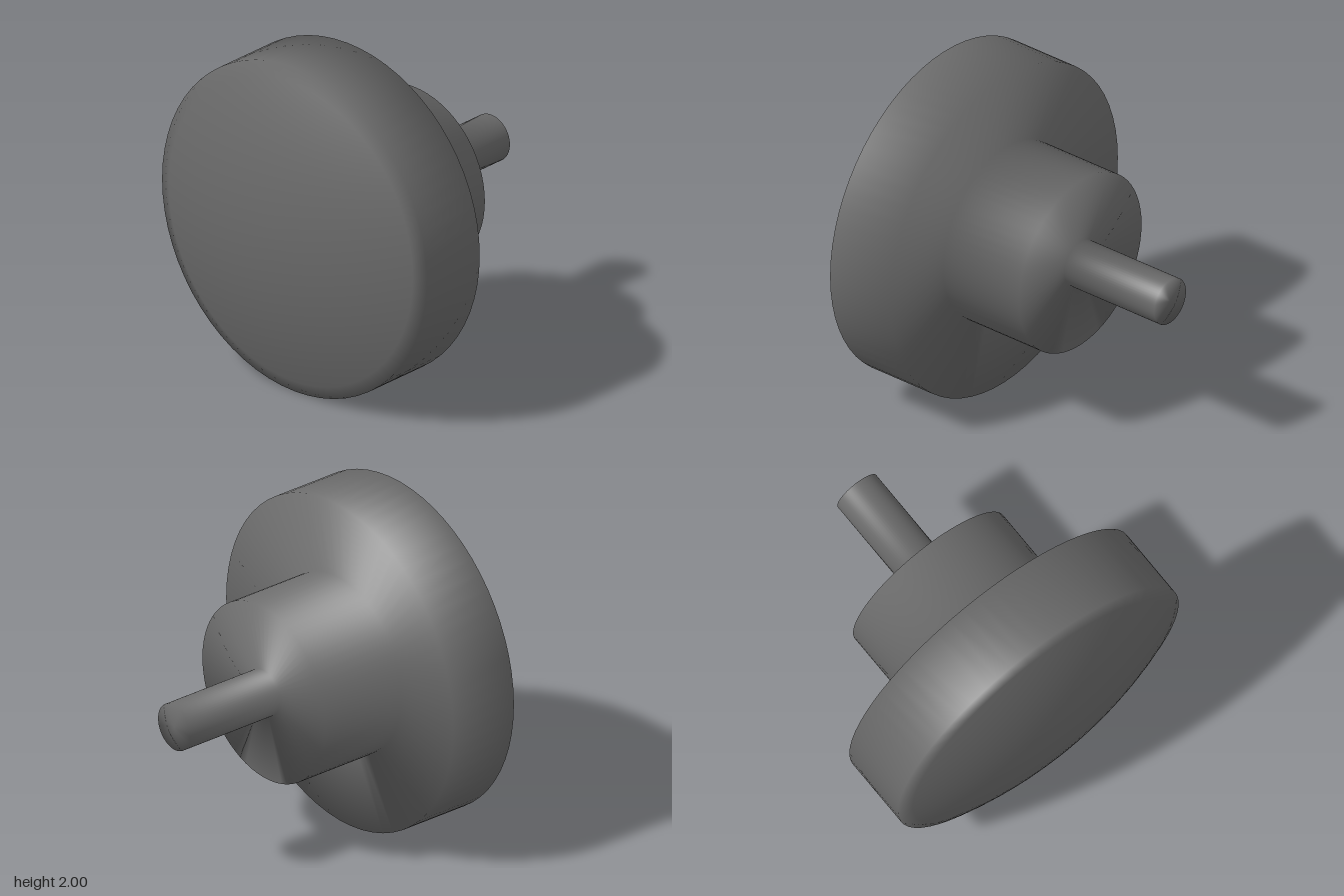
import * as THREE from 'three';
import { mergeGeometries, mergeVertices } from 'three/addons/utils/BufferGeometryUtils.js';
import { ParametricGeometry } from 'three/addons/geometries/ParametricGeometry.js';

const SEG = 64;               // sides of every round part
const AXIS_Y = 1;             // height of the knob's axis
const HUB = { r: 0.54, back: -0.27, front: 0.28 };
const HOLE = { r: 0.085, floor: 0.58 };
const GAP = 4 * 2 * Math.PI / SEG; // half angle of the hub patch that holds the hole

// Revolves [radius, z] points about the knob's axis
function revolve(points, start = 0, length = Math.PI * 2, segments = SEG) {
  const profile = points.map(([r, z]) => new THREE.Vector2(r, z));
  return new THREE.LatheGeometry(profile, segments, start, length)
    .rotateX(Math.PI / 2).translate(0, AXIS_Y, 0);
}

// Curved patch under the hub, running from the hole's floor over its rim to the patch border
function holePatch() {
  const mid = (HUB.front + HUB.back) / 2, half = (HUB.front - HUB.back) / 2;
  return new ParametricGeometry((u, v, target) => {
    const t = (u * 4) % 4, side = Math.floor(t), s = 2 * (t - side) - 1;
    const [bx, bz] = [[s, -1], [1, s], [-s, 1], [-1, -s]][side];
    const phi = -0.75 * Math.PI + t * Math.PI / 2;
    const k = Math.max(0, (v - 0.2) / 0.8);
    const angle = -THREE.MathUtils.lerp(Math.cos(phi) * HOLE.r / HUB.r, bx * GAP, k);
    const z = mid + THREE.MathUtils.lerp(Math.sin(phi) * HOLE.r, bz * half, k);
    const rimY = AXIS_Y - HUB.r * Math.cos(angle);
    const y = THREE.MathUtils.lerp(HOLE.floor, rimY, Math.min(1, v / 0.2));
    target.set(HUB.r * Math.sin(angle), y, z);
  }, 32, 5);
}

// Welds pieces into one skin with soft shading across its edges
function weldSmooth(pieces) {
  const skin = mergeGeometries(pieces);
  skin.deleteAttribute('normal');
  skin.deleteAttribute('uv');
  const welded = mergeVertices(skin);
  welded.computeVertexNormals();
  return welded;
}

export function createModel() {
  const group = new THREE.Group();
  const material = new THREE.MeshStandardMaterial({ color: 0x6a6a6a, side: THREE.DoubleSide });
  const add = (name, geometry) => {
    const mesh = new THREE.Mesh(geometry, material);
    mesh.name = name;
    group.add(mesh);
  };

  // Wide disc with a shallow spherical front
  const disc = [[HUB.r, HUB.front], [1, HUB.front], [1, 0.72]];
  const domeR = 2.6, domeAngle = Math.asin(1 / domeR);
  for (let i = 1; i <= 12; i++) {
    const a = domeAngle * (1 - i / 12);
    disc.push([domeR * Math.sin(a), 0.92 - domeR * (1 - Math.cos(a))]);
  }

  // Hub wall, left open below where the patch with the hole closes it
  const hubWall = revolve([[HUB.r, HUB.back], [HUB.r, HUB.front]],
    GAP, 2 * Math.PI - 2 * GAP, SEG - 8);

  // Shaft and the back of the hub
  const shaft = revolve([[0, -0.92], [0.14, -0.92], [0.14, HUB.back], [HUB.r, HUB.back]]);

  add('knobBody', weldSmooth([revolve(disc), hubWall, holePatch(), shaft]));

  // Domed set screw at the bottom of the hole
  const screw = new THREE.SphereGeometry(HOLE.r, 32, 12).scale(1, 0.5, 1);
  add('setScrew', screw.translate(0, HOLE.floor, (HUB.front + HUB.back) / 2));

  return group;
}
